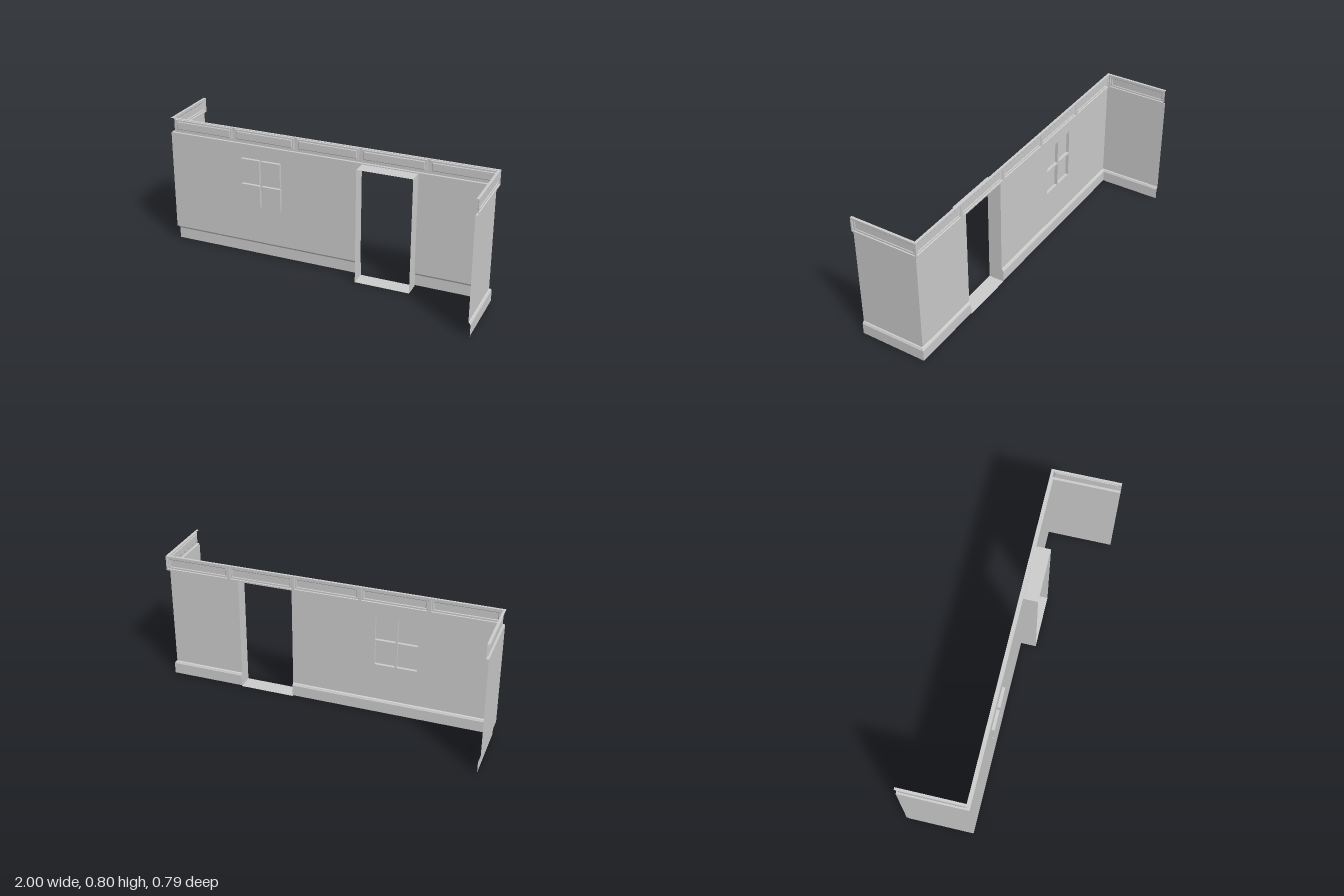
import * as THREE from 'three';

const mat = new THREE.MeshStandardMaterial({ color: 0xcccccc, side: THREE.DoubleSide, flatShading: true });
const BOTTOM = 0.006, BASE = 0.088, CORNICE = 0.705, TOP = 0.795, OUT = 0.015;
const DOOR = { x0: 0.22, x1: 0.55, top: 0.7, depth: 0.085 };
const WIN = { x0: -0.53, x1: -0.28, y0: 0.315, y1: 0.62, depth: 0.018 };

// skirting outline, bottom to top: [distance out from the wall, height]
const skirting = [[0.012, BOTTOM], [0.012, 0.073], [0.01, 0.076], [0.006, 0.084], [0, BASE]];

// corners of the wall line, pushed outwards by o: [x, z]
const corners = [
  (o) => [-1 + o, -0.395],
  (o) => [-1 + o, -o],
  (o) => [0.985 + o, -o],
  (o) => [0.985 + o, 0.395],
];

function add(group, name, geometry) {
  const mesh = new THREE.Mesh(geometry, mat);
  mesh.name = name;
  group.add(mesh);
  return mesh;
}

function quads(list) {
  const pos = [];
  for (const [a, b, c, d] of list) pos.push(...a, ...b, ...c, ...a, ...c, ...d);
  const g = new THREE.BufferGeometry();
  g.setAttribute('position', new THREE.Float32BufferAttribute(pos, 3));
  g.computeVertexNormals();
  return g;
}

// strip that follows a profile between two mitred ends
function sweep(profile, from, to) {
  const at = (end, [o, y]) => { const [x, z] = end(o); return [x, y, z]; };
  const list = [];
  for (let i = 0; i + 1 < profile.length; i++) {
    const p = profile[i], q = profile[i + 1];
    list.push([at(from, p), at(from, q), at(to, q), at(to, p)]);
  }
  return quads(list);
}

// sunken panel made of nested rectangles: [inset, distance out]
function panelGeometry(w, h) {
  const rings = [[0, 0], [0.009, 0], [0.011, -0.006], [0.02, -0.006], [0.024, -0.009]];
  const rect = ([i, d]) => [
    [-w / 2 + i, -h / 2 + i, d], [w / 2 - i, -h / 2 + i, d],
    [w / 2 - i, h / 2 - i, d], [-w / 2 + i, h / 2 - i, d],
  ];
  const list = [rect(rings[rings.length - 1])];
  for (let r = 0; r + 1 < rings.length; r++) {
    const a = rect(rings[r]), b = rect(rings[r + 1]);
    for (let k = 0; k < 4; k++) {
      const n = (k + 1) % 4;
      list.push([a[k], a[n], b[n], b[k]]);
    }
  }
  return quads(list);
}

function buildWalls(group) {
  // main wall with door notch and window opening
  const s = new THREE.Shape();
  [[-1, BASE], [DOOR.x0, BASE], [DOOR.x0, DOOR.top], [DOOR.x1, DOOR.top], [DOOR.x1, BASE],
    [0.985, BASE], [0.985, CORNICE], [-1, CORNICE]]
    .forEach(([x, y], i) => (i ? s.lineTo(x, y) : s.moveTo(x, y)));
  const hole = new THREE.Path();
  hole.moveTo(WIN.x0, WIN.y0);
  hole.lineTo(WIN.x0, WIN.y1);
  hole.lineTo(WIN.x1, WIN.y1);
  hole.lineTo(WIN.x1, WIN.y0);
  hole.closePath();
  s.holes.push(hole);
  add(group, 'mainWall', new THREE.ShapeGeometry(s));

  const flat = [[0, BASE], [0, CORNICE]];
  add(group, 'rightWingWall', sweep(flat, corners[0], corners[1]));
  add(group, 'leftWingWall', sweep(flat, corners[2], corners[3]));
}

function buildMouldings(group) {
  const doorEnd = (x) => (o) => [x, -o];
  const runs = [
    [corners[0], corners[1]], [corners[1], doorEnd(DOOR.x0)],
    [doorEnd(DOOR.x1), corners[2]], [corners[2], corners[3]],
  ];
  runs.forEach(([a, b]) => add(group, 'skirting', sweep(skirting, a, b)));

  // cornice: lower and upper ledges with panels between
  for (let i = 0; i < 3; i++) {
    add(group, 'corniceUnderside', sweep([[0, CORNICE], [OUT, CORNICE]], corners[i], corners[i + 1]));
    add(group, 'corniceTop', sweep([[OUT, TOP], [0, TOP]], corners[i], corners[i + 1]));
    const [ax, az] = corners[i](OUT), [bx, bz] = corners[i + 1](OUT);
    const count = i === 1 ? 5 : 1;
    const width = Math.hypot(bx - ax, bz - az) / count;
    for (let k = 0; k < count; k++) {
      const t = (k + 0.5) / count;
      const panel = add(group, 'cornicePanel', panelGeometry(width, TOP - CORNICE));
      panel.position.set(ax + (bx - ax) * t, (TOP + CORNICE) / 2, az + (bz - az) * t);
      panel.rotation.y = i === 1 ? Math.PI : Math.PI / 2;
    }
  }
}

function buildDoorway(group) {
  // jambs, whose inner edge follows the skirting outline
  const s = new THREE.Shape();
  s.moveTo(DOOR.depth, 0);
  s.lineTo(-0.012, 0);
  skirting.forEach(([o, y]) => s.lineTo(-o, y));
  s.lineTo(0, DOOR.top);
  s.lineTo(DOOR.depth, DOOR.top);
  for (const x of [DOOR.x0, DOOR.x1]) {
    const jamb = add(group, 'doorJamb', new THREE.ShapeGeometry(s));
    jamb.rotation.y = -Math.PI / 2;
    jamb.position.x = x;
  }
  const { x0, x1, top, depth } = DOOR;
  add(group, 'doorLintel', quads([[[x0, top, 0], [x1, top, 0], [x1, top, depth], [x0, top, depth]]]));
  add(group, 'threshold', quads([[[x0, 0, depth], [x1, 0, depth], [x1, 0, -0.012], [x0, 0, -0.012]]]));
}

function buildWindow(group) {
  const { x0, x1, y0, y1, depth } = WIN;
  const cx = (x0 + x1) / 2, cy = (y0 + y1) / 2, bar = 0.006;
  // four shallow pockets, each with a pane at its bottom
  for (const [a, b] of [[x0, cx - bar], [cx + bar, x1]]) {
    for (const [c, d] of [[y0, cy - bar], [cy + bar, y1]]) {
      const loop = [[a, c], [a, d], [b, d], [b, c]];
      const list = [loop.map(([x, y]) => [x, y, depth])];
      loop.forEach((p, k) => {
        const q = loop[(k + 1) % 4];
        list.push([[...p, 0], [...q, 0], [...q, depth], [...p, depth]]);
      });
      add(group, 'windowPane', quads(list));
    }
  }
  // glazing bars
  const strip = (l, r, b, t) => quads([[[l, b, 0], [l, t, 0], [r, t, 0], [r, b, 0]]]);
  add(group, 'uprightGlazingBar', strip(cx - bar, cx + bar, y0, y1));
  add(group, 'crossGlazingBar', strip(x0, cx - bar, cy - bar, cy + bar));
  add(group, 'crossGlazingBar', strip(cx + bar, x1, cy - bar, cy + bar));
}

export function createModel() {
  const model = new THREE.Group();
  model.name = 'wallSection';
  const parts = { walls: buildWalls, mouldings: buildMouldings, doorway: buildDoorway, window: buildWindow };
  for (const [name, build] of Object.entries(parts)) {
    const group = new THREE.Group();
    group.name = name;
    build(group);
    model.add(group);
  }
  return model;
}
